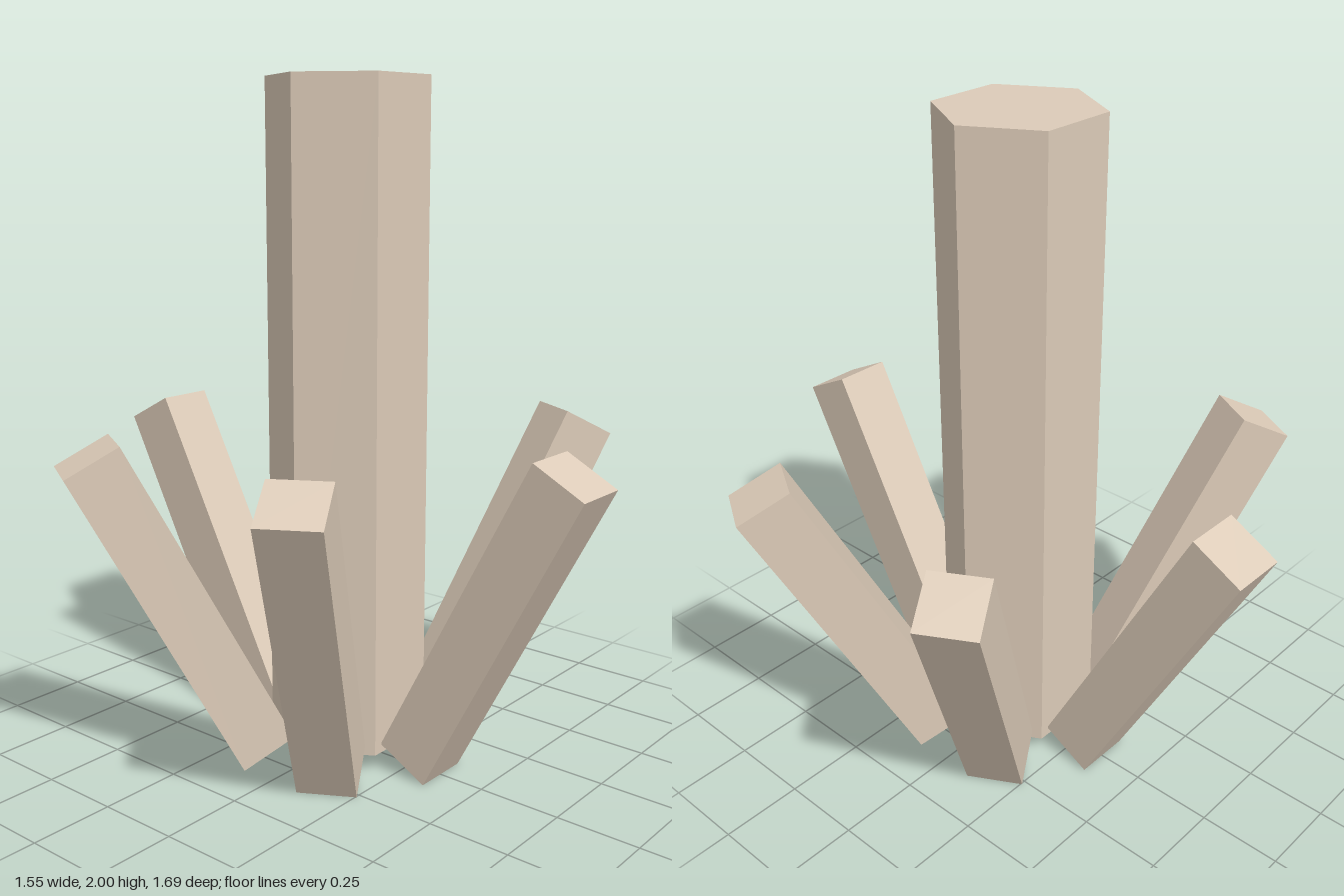
import * as THREE from 'three';

export function createModel() {
  const model = new THREE.Group();
  const stone = new THREE.MeshStandardMaterial({ color: 0xdccbb8, flatShading: true });
  stone.name = 'paleStone';

  // Central hexagonal column, corners on the x axis
  const bottom = 0.055, top = 2;
  const column = new THREE.Mesh(
    new THREE.CylinderGeometry(0.236, 0.236, top - bottom, 6, 1, false, Math.PI / 6), stone);
  column.name = 'centralColumn';
  column.position.y = (bottom + top) / 2;
  model.add(column);

  // Six square shards leaning outward around the column
  const shardGeometry = new THREE.BoxGeometry(0.175, 1.051, 0.175);
  for (let i = 0; i < 6; i++) {
    const arm = new THREE.Group();
    arm.name = `shardArm${i + 1}`;
    arm.rotation.y = i * Math.PI / 3;
    const shard = new THREE.Mesh(shardGeometry, stone);
    shard.name = `leaningShard${i + 1}`;
    shard.position.set(0, 0.505, 0.523);
    shard.rotation.x = THREE.MathUtils.degToRad(27.7);
    arm.add(shard);
    model.add(arm);
  }
  return model;
}
